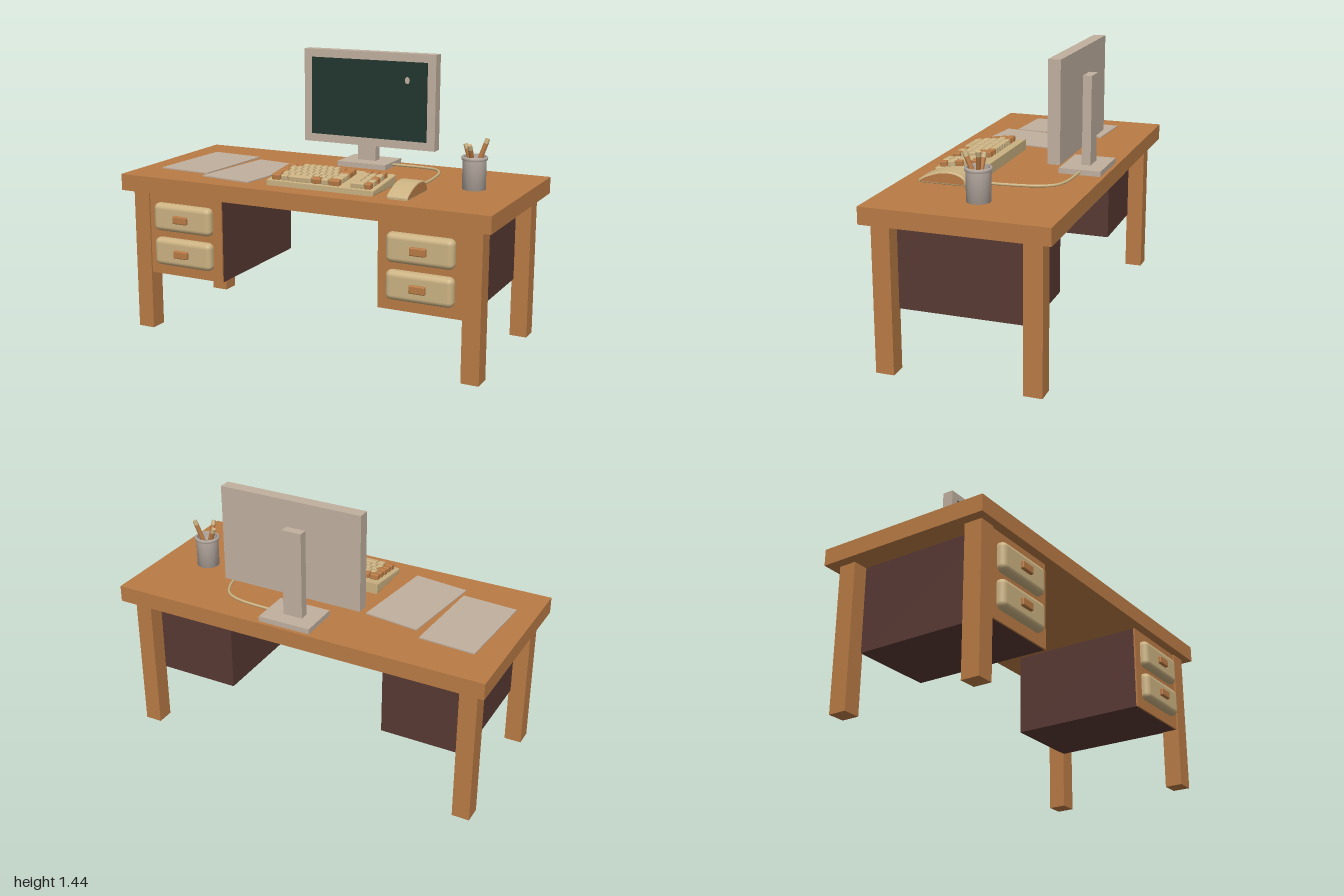
import * as THREE from 'three';
import { RoundedBoxGeometry } from 'three/addons/geometries/RoundedBoxGeometry.js';

const mat = (name, color, side = THREE.FrontSide) => {
  const m = new THREE.MeshStandardMaterial({ color, side });
  m.name = name;
  return m;
};

export function createModel() {
  const model = new THREE.Group();
  model.name = 'desk';
  const wood = mat('orange wood', 0xb97b45);
  const brown = mat('dark brown', 0x583933);
  const tan = mat('tan', 0xcbb282);
  const cream = mat('cream grey', 0xc0af9e);
  const grey = mat('cup grey', 0xb9ada4, THREE.DoubleSide);
  const green = mat('screen green', 0x20362e);

  const add = (parent, name, geo, material, x = 0, y = 0, z = 0) => {
    const m = new THREE.Mesh(geo, material);
    m.name = name;
    m.position.set(x, y, z);
    parent.add(m);
    return m;
  };
  // Box given by its two extreme corners
  const span = (parent, name, material, [x0, y0, z0], [x1, y1, z1], r = 0) => {
    const s = [x1 - x0, y1 - y0, z1 - z0];
    const geo = r ? new RoundedBoxGeometry(...s, 3, r) : new THREE.BoxGeometry(...s);
    return add(parent, name, geo, material, (x0 + x1) / 2, (y0 + y1) / 2, (z0 + z1) / 2);
  };
  // Side profile in (z, y), extruded across x and centred
  const acrossX = (points, width, bevel, smooth) => {
    const pts = points.map(([z, y]) => new THREE.Vector2(-z, y));
    const shape = new THREE.Shape();
    if (smooth) {
      shape.moveTo(pts[0].x, pts[0].y);
      shape.splineThru(pts.slice(1));
      shape.closePath();
    } else shape.setFromPoints(pts);
    const geo = new THREE.ExtrudeGeometry(shape, {
      depth: width - 2 * bevel, bevelEnabled: bevel > 0, bevelSize: bevel,
      bevelThickness: bevel, bevelOffset: -bevel, bevelSegments: 3, curveSegments: 5,
    });
    geo.translate(0, 0, -width / 2 + bevel);
    return geo.rotateY(Math.PI / 2);
  };

  // Table top and legs
  span(model, 'tableTop', wood, [-1, 0.74, -0.457], [1, 0.825, 0.457]);
  for (const s of [-1, 1]) {
    for (const [name, z] of [['frontLeg', 0.372], ['backLeg', -0.357]]) {
      add(model, name, new THREE.BoxGeometry(0.09, 0.74, 0.092), wood, s * 0.905, 0.37, z);
    }
    // Drawer cabinet with wooden face, two drawers and handles
    const cabinet = new THREE.Group();
    cabinet.name = 'drawerCabinet';
    cabinet.position.x = s * 0.65;
    model.add(cabinet);
    span(cabinet, 'cabinetBody', brown, [-0.22, 0.305, -0.315], [0.22, 0.74, 0.4]);
    span(cabinet, 'cabinetFace', wood, [-0.22, 0.305, 0.4], [0.22, 0.74, 0.409]);
    for (const y of [0.433, 0.615]) {
      add(cabinet, 'drawer', new RoundedBoxGeometry(0.34, 0.145, 0.07, 3, 0.028), tan, 0, y, 0.413);
      add(cabinet, 'drawerHandle', new RoundedBoxGeometry(0.082, 0.04, 0.03, 2, 0.006), wood, 0, y, 0.449);
    }
  }

  // Monitor with stand
  const monitor = new THREE.Group();
  monitor.name = 'monitor';
  model.add(monitor);
  span(monitor, 'monitorCase', cream, [-0.305, 0.942, -0.315], [0.445, 1.437, -0.254]);
  span(monitor, 'screen', green, [-0.26, 0.985, -0.256], [0.4, 1.395, -0.251]);
  add(monitor, 'screenGlint', new THREE.CircleGeometry(0.014, 12), cream, 0.29, 1.3, -0.249).scale.y = 1.3;
  span(monitor, 'standNeck', cream, [-0.015, 0.84, -0.36], [0.088, 1.3, -0.312]);
  span(monitor, 'standBase', cream, [-0.095, 0.825, -0.438], [0.182, 0.852, -0.225]);

  // Keyboard: wedge base and sloped rows of keys (negative width = orange key)
  const keyboard = new THREE.Group();
  keyboard.name = 'keyboard';
  keyboard.position.set(0.085, 0.825, 0);
  model.add(keyboard);
  add(keyboard, 'keyboardBase',
    acrossX([[0.35, 0], [0.35, 0.026], [0.08, 0.056], [0.08, 0]], 0.58, 0.006, false), tan);
  const rows = [
    [-1.5, -1, 1, 1, 1, 1, 1, 1, -1, -1.5],
    [-1, 1, 1, 1, 1, 1, 1, 1, 1, -2],
    [-1.5, 1, 1, 1, 1, 1, 1, 1, 1, 1.5],
    [-1.2, 1, 1, 1, 1, 1, 1, 1, 1, 1.8],
    [-1.5, 1.2, 3.8, -1.5, 1.2, -1.8],
  ];
  const pad = [[-1, -1, -1], [1, 1, 1], [1, 1, -1], [1, 1, 1], [2, -1]];
  const addRow = (widths, x0, x1, r) => {
    const unit = (x1 - x0) / widths.reduce((a, w) => a + Math.abs(w), 0);
    const z = 0.148 + r * 0.042;
    let x = x0;
    for (const w of widths) {
      const len = Math.abs(w) * unit;
      const key = add(keyboard, 'key', new RoundedBoxGeometry(len - 0.005, 0.032, 0.037, 2, 0.007),
        w < 0 ? wood : tan, x + len / 2, 0.061 - r * 0.005, z);
      key.rotation.x = 0.11;
      x += len;
    }
  };
  rows.forEach((row, r) => addRow(row, -0.27, 0.105, r));
  pad.forEach((row, r) => addRow(row, 0.16, 0.272, r));

  // Mouse: tan shell with orange sides
  add(model, 'mouse', acrossX([[0.36, 0], [0.355, 0.018], [0.31, 0.042], [0.24, 0.063],
    [0.17, 0.062], [0.125, 0.042], [0.112, 0.015], [0.115, 0]], 0.108, 0.008, true),
  [wood, tan], 0.502, 0.825, 0);

  // Mouse cable to the monitor base
  const cable = new THREE.CatmullRomCurve3([[0.505, 0.84, 0.13], [0.51, 0.841, 0.03], [0.508, 0.843, -0.1],
    [0.485, 0.843, -0.22], [0.44, 0.842, -0.29], [0.36, 0.84, -0.32], [0.17, 0.838, -0.33]]
    .map((p) => new THREE.Vector3(...p)));
  add(model, 'mouseCable', new THREE.TubeGeometry(cable, 40, 0.007, 8), tan);

  // Sheets of paper
  for (const [x, z, turn] of [[-0.733, 0.01, -0.06], [-0.42, 0.095, -0.12]]) {
    add(model, 'paper', new THREE.BoxGeometry(0.29, 0.006, 0.49), cream, x, 0.828, z).rotation.y = turn;
  }

  // Pen cup with rim and foot
  const cup = new THREE.Group();
  cup.name = 'penCup';
  cup.position.set(0.743, 0.825, -0.026);
  model.add(cup);
  const profile = [[0, 0], [0.058, 0], [0.058, 0.142], [0.064, 0.146], [0.065, 0.158],
    [0.06, 0.163], [0.049, 0.16], [0.047, 0.02], [0, 0.02]];
  add(cup, 'cupBody', new THREE.LatheGeometry(profile.map((p) => new THREE.Vector2(...p)), 32), grey);

  // Pencils with pale ends
  const up = new THREE.Vector3(0, 1, 0);
  for (const [x, y, z] of [[-0.052, 0.218, -0.01], [0.056, 0.248, -0.024], [-0.003, 0.226, 0.068]]) {
    const end = new THREE.Vector3(x, y, z);
    const start = new THREE.Vector3(-x * 0.3, 0.025, -z * 0.3);
    const dir = end.clone().sub(start);
    const len = dir.length();
    const pencil = new THREE.Group();
    pencil.name = 'pencil';
    pencil.position.copy(start);
    pencil.quaternion.setFromUnitVectors(up, dir.normalize());
    cup.add(pencil);
    add(pencil, 'pencilBody', new THREE.CylinderGeometry(0.012, 0.012, len - 0.025, 10), wood, 0, (len - 0.025) / 2, 0);
    add(pencil, 'pencilEnd', new THREE.CylinderGeometry(0.011, 0.0125, 0.025, 10), tan, 0, len - 0.0125, 0);
  }
  return model;
}
